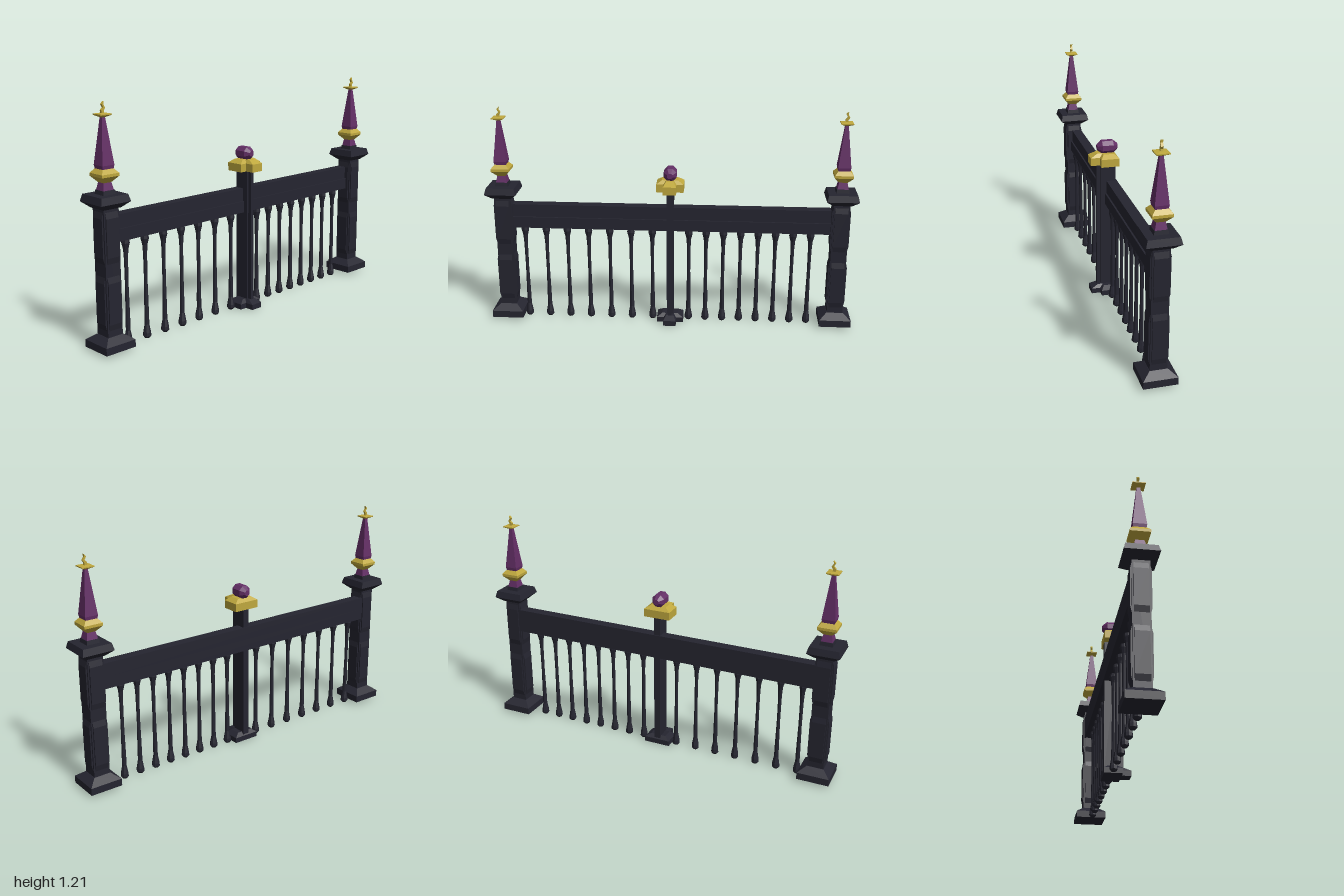
import * as THREE from 'three';

const mat = (name, color) => new THREE.MeshStandardMaterial({ name, color, flatShading: true });

export function createModel() {
  const dark = mat('dark iron', 0x252530);
  const purple = mat('purple', 0x642f66);
  const gold = mat('gold', 0xbfa83e);
  const root = new THREE.Group();
  root.name = 'fence';

  const add = (parent, name, geo, material, x = 0, y = 0, z = 0) => {
    const m = new THREE.Mesh(geo, material);
    m.name = name;
    m.position.set(x, y, z);
    parent.add(m);
    return m;
  };
  const box = (parent, name, material, x0, x1, y0, y1, z0, z1) =>
    add(parent, name, new THREE.BoxGeometry(x1 - x0, y1 - y0, z1 - z0), material,
      (x0 + x1) / 2, (y0 + y1) / 2, (z0 + z1) / 2);
  // turned profile of [radius, height], closed at both ends
  const turned = (pts, sides) => {
    const p = [[0, pts[0][1]], ...pts, [0, pts[pts.length - 1][1]]];
    return new THREE.LatheGeometry(p.map(([r, y]) => new THREE.Vector2(r, y)), sides);
  };
  // square profile of [half width, height]
  const square = (pts) =>
    turned(pts.map(([h, y]) => [h * Math.SQRT2, y]), 4).rotateY(Math.PI / 4);
  const polygon = (pts) => new THREE.Shape(pts.map(([x, y]) => new THREE.Vector2(x, y)));
  const extrude = (pts, depth) =>
    new THREE.ExtrudeGeometry(polygon(pts), { depth, bevelEnabled: false });

  // end posts with raised panels, cap and spire
  const panel = (y0, y1) => extrude([
    [-0.042, y0], [0.042, y0], [0.05, y0 + 0.035], [0.05, y1 - 0.035],
    [0.042, y1], [-0.042, y1], [-0.05, y1 - 0.035], [-0.05, y0 + 0.035],
  ], 0.07).translate(0, 0, -0.035);
  for (const x of [-0.913, 0.913]) {
    const post = new THREE.Group();
    post.name = x > 0 ? 'leftPost' : 'rightPost';
    post.position.set(x, 0, -0.008);
    root.add(post);
    add(post, 'postBase', square([[0.086, 0.02], [0.086, 0.058], [0.045, 0.088]]), dark);
    add(post, 'postShaft', square([[0.043, 0.08], [0.043, 0.73]]), dark);
    for (const [y0, y1] of [[0.115, 0.39], [0.445, 0.705]]) {
      add(post, 'panelSides', panel(y0, y1), dark);
      add(post, 'panelFrontBack', panel(y0, y1).rotateY(Math.PI / 2), dark);
    }
    add(post, 'postCap', square([[0.05, 0.715], [0.085, 0.745], [0.076, 0.78], [0.035, 0.78], [0.032, 0.8]]), dark);
    add(post, 'spireFoot', square([[0.03, 0.798], [0.02, 0.845]]), purple);
    add(post, 'spireCollar', square([[0.022, 0.836], [0.049, 0.866], [0.049, 0.88], [0.03, 0.902]]), gold);
    add(post, 'spire', square([[0.03, 0.895], [0.034, 0.918], [0.008, 1.146]]), purple);
    add(post, 'spirePlate', square([[0.008, 1.138], [0.032, 1.15], [0.032, 1.155], [0.008, 1.158]]), gold);
    // wavy flame tip
    add(post, 'flameTip', extrude([
      [-0.006, 1.155], [0.007, 1.155], [0.005, 1.168], [0.014, 1.181], [0.004, 1.196],
      [0.006, 1.211], [-0.006, 1.199], [0.003, 1.183], [-0.009, 1.171],
    ], 0.012).translate(0, 0, -0.006), gold);
  }

  // handrail with a step along the front
  box(root, 'railUpper', dark, -0.89, 0.89, 0.6, 0.672, -0.052, 0.004);
  box(root, 'railLower', dark, -0.89, 0.89, 0.54, 0.602, -0.052, 0.013);

  // turned balusters, seven on one side and eight on the other
  const balusterGeo = turned([
    [0.013, 0.004], [0.021, 0.014], [0.02, 0.032], [0.012, 0.075], [0.012, 0.12],
    [0.009, 0.3], [0.01, 0.44], [0.013, 0.49], [0.021, 0.522], [0.019, 0.542],
  ], 8);
  const xs = [];
  for (let i = 0; i < 7; i++) xs.push(-0.805 + i * 0.1175);
  for (let i = 0; i < 8; i++) xs.push(0.101 + i * 0.0943);
  for (const x of xs) add(root, 'baluster', balusterGeo, dark, x, 0, -0.008);

  // centre post with a narrow rib at the front
  box(root, 'centrePost', dark, -0.018, 0.018, 0.03, 0.78, -0.046, 0.036);
  box(root, 'centreRib', dark, -0.009, 0.009, 0.03, 0.78, 0.03, 0.058);

  // T-shaped block whose top layer tapers inward
  const tee = [
    [-0.073, -0.045], [-0.035, -0.045], [-0.035, -0.094], [0.035, -0.094],
    [0.035, -0.045], [0.073, -0.045], [0.073, 0.052], [-0.073, 0.052],
  ];
  const teeBlock = (name, material, y0, y1, y2) => {
    add(root, name, extrude(tee, y1 - y0).rotateX(-Math.PI / 2), material, 0, y0);
    const top = extrude(tee, y2 - y1).rotateX(-Math.PI / 2);
    const p = top.attributes.position;
    for (let i = 0; i < p.count; i++) {
      if (p.getY(i) > (y2 - y1) / 2) p.setXYZ(i, p.getX(i) * 0.6, p.getY(i), p.getZ(i) * 0.6);
    }
    top.computeVertexNormals();
    add(root, name + 'Top', top, material, 0, y1);
  };
  teeBlock('centreBase', dark, 0.005, 0.034, 0.052);
  teeBlock('centreCapital', gold, 0.772, 0.815, 0.834);

  // faceted knob lying front to back
  add(root, 'knob', turned([
    [0.016, -0.055], [0.037, -0.03], [0.037, 0.03], [0.016, 0.055],
  ], 8).rotateX(Math.PI / 2).rotateZ(Math.PI / 8), purple, 0, 0.864, -0.002);

  return root;
}
